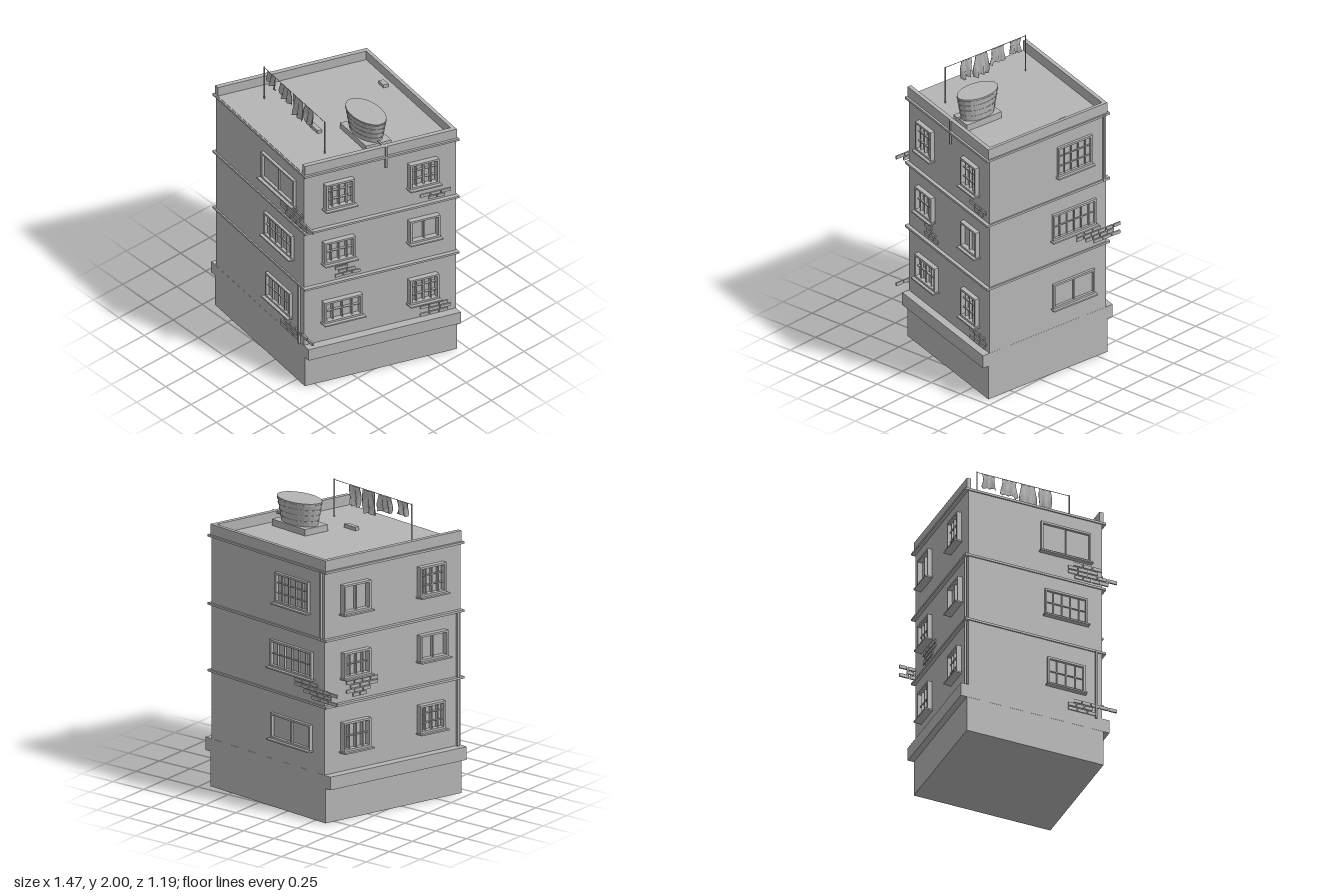
import * as THREE from 'three';

const U = 0.519, W = 0.532;   // half sizes of the skewed footprint

export function createModel() {
  const root = new THREE.Group();
  root.name = 'apartmentBlock';
  const grey = new THREE.MeshStandardMaterial({ color: 0xb5b5b5 });
  grey.name = 'concreteGrey';

  // Plan axes: u runs along the front wall, w runs from back to front
  const skew = new THREE.Matrix4().makeBasis(
    new THREE.Vector3(0.9927, 0, 0.1205),
    new THREE.Vector3(0, 1, 0),
    new THREE.Vector3(-0.329, 0, 0.944));

  const add = (parent, name, geo, skewed = true) => {
    const mesh = new THREE.Mesh(skewed ? geo.applyMatrix4(skew) : geo, grey);
    mesh.name = name;
    parent.add(mesh);
    return mesh;
  };
  const box = (parent, name, u0, u1, y0, y1, w0, w1) =>
    add(parent, name, new THREE.BoxGeometry(u1 - u0, y1 - y0, w1 - w0)
      .translate((u0 + u1) / 2, (y0 + y1) / 2, (w0 + w1) / 2));

  // Box on a wall: s runs to the right seen from outside, d is the distance outwards
  const u1 = U - 0.011;
  const onWall = (parent, name, side, s0, s1, y0, y1, d0, d1) => {
    if (side === 'front') return box(parent, name, s0, s1, y0, y1, W + d0, W + d1);
    if (side === 'back') return box(parent, name, -s1, -s0, y0, y1, -W - d1, -W - d0);
    if (side === 'right') return box(parent, name, u1 + d0, u1 + d1, y0, y1, -s1, -s0);
    return box(parent, name, -u1 - d1, -u1 - d0, y0, y1, s0, s1);
  };
  const group = (name) => {
    const g = new THREE.Group();
    g.name = name;
    root.add(g);
    return g;
  };

  // Main masses
  box(root, 'plinth', -U, U, 0, 0.33, -W, W);
  box(root, 'plinthLedge', -0.565, 0.565, 0.24, 0.33, -W - 0.001, W + 0.001);
  box(root, 'walls', -u1, u1, 0.33, 1.74, -W, W);
  for (const y of [0.8, 1.26, 1.73])
    box(root, 'stringCourse', -0.535, 0.535, y - 0.008, y + 0.007, -0.542, 0.542);

  // Parapet on three sides, open at the front
  box(root, 'leftParapet', -U, -U + 0.03, 1.735, 1.81, -W, W);
  box(root, 'rightParapet', U - 0.03, U, 1.735, 1.81, -W, W);
  box(root, 'backParapet', -U + 0.03, U - 0.03, 1.735, 1.81, -W, -W + 0.025);

  // Windows: [side, s0, s1, y0, y1, columns, rows]
  const windows = [
    ['front', 0.04, 0.418, 1.42, 1.63, 2, 1],
    ['front', 0.07, 0.393, 0.97, 1.155, 5, 2],
    ['front', 0.09, 0.373, 0.475, 0.67, 4, 2],
    ['back', 0.08, 0.38, 1.42, 1.63, 5, 3],
    ['back', 0.035, 0.413, 0.97, 1.155, 6, 2],
    ['back', 0.04, 0.40, 0.475, 0.65, 2, 1],
    ['right', -0.396, -0.194, 1.42, 1.625, 4, 3],
    ['right', 0.194, 0.395, 1.42, 1.62, 4, 3],
    ['right', -0.404, -0.19, 0.975, 1.15, 4, 2],
    ['right', 0.194, 0.402, 0.975, 1.155, 2, 1],
    ['right', -0.407, -0.14, 0.49, 0.66, 4, 2],
    ['right', 0.194, 0.395, 0.47, 0.67, 4, 3],
    ['left', -0.405, -0.194, 1.42, 1.62, 2, 1],
    ['left', 0.194, 0.395, 1.42, 1.625, 4, 3],
    ['left', -0.4, -0.194, 0.975, 1.15, 4, 2],
    ['left', 0.194, 0.41, 0.975, 1.155, 2, 1],
    ['left', -0.405, -0.194, 0.47, 0.67, 4, 2],
    ['left', 0.194, 0.39, 0.48, 0.67, 4, 3],
  ];
  for (const [side, s0, s1, y0, y1, cols, rows] of windows) {
    const g = group(side + 'Window');
    const t = 0.014, d = side === 'front' || side === 'back' ? 0.02 : 0.035;
    onWall(g, 'frameSide', side, s0, s0 + t, y0, y1, 0, d);
    onWall(g, 'frameSide', side, s1 - t, s1, y0, y1, 0, d);
    onWall(g, 'frameTop', side, s0 + t, s1 - t, y1 - t, y1, 0, d);
    onWall(g, 'frameBottom', side, s0 + t, s1 - t, y0, y0 + t, 0, d);
    onWall(g, 'sill', side, s0 - 0.01, s1 + 0.01, y0 - 0.01, y0, 0, d + 0.022);
    for (let i = 1; i < cols; i++) {
      const s = s0 + (s1 - s0) * i / cols;
      onWall(g, 'mullion', side, s - 0.004, s + 0.004, y0 + t, y1 - t, 0, d * 0.6);
    }
    for (let i = 1; i < rows; i++) {
      const y = y0 + (y1 - y0) * i / rows;
      onWall(g, 'glazingBar', side, s0 + t, s1 - t, y - 0.003, y + 0.003, 0, d * 0.5);
    }
  }

  // Exposed brick patches: [side, lowest y, rows of [start, end]]
  const patches = [
    ['front', 1.285, [[0.3, 0.56], [0.25, 0.625], [0.25, 0.48], [0.29, 0.51]]],
    ['front', 0.335, [[0.25, 0.47], [0.25, 0.44], [0.29, 0.625]]],
    ['right', 1.285, [[0.34, 0.46], [0.28, 0.5]]],
    ['right', 0.335, [[0.28, 0.48], [0.34, 0.5], [0.28, 0.48]]],
    ['right', 0.83, [[-0.315, -0.135], [-0.29, -0.17], [-0.315, -0.22], [-0.315, -0.22]]],
    ['back', 0.83, [[0.4, 0.635], [0.33, 0.58], [0.25, 0.635], [0.25, 0.46]]],
    ['left', 0.83, [[-0.31, -0.2], [-0.36, -0.17], [-0.33, -0.11], [-0.36, -0.11]]],
  ];
  for (const [side, base, rows] of patches) {
    const g = group(side + 'Bricks');
    rows.forEach(([a, b], r) => {
      const n = Math.max(1, Math.round((b - a) / 0.07)), step = (b - a) / n;
      for (let i = 0; i < n; i++)
        onWall(g, 'brick', side, a + i * step, a + (i + 1) * step - 0.007,
          base + r * 0.03, base + r * 0.03 + 0.022, -0.004, 0.008);
    });
  }

  // Drain pipes
  onWall(root, 'frontDrainPipe', 'front', 0.456, 0.47, 0.32, 0.8, 0, 0.014);
  onWall(root, 'leftDrainPipe', 'left', 0.494, 0.508, 0.33, 1.26, 0.005, 0.019);
  onWall(root, 'backDrainPipe', 'back', 0.476, 0.49, 1.26, 1.73, 0, 0.014);
  onWall(root, 'overflowPipe', 'right', 0.029, 0.041, 1.64, 1.81, 0.005, 0.022);
  box(root, 'tankOutlet', 0.43, 0.5, 1.794, 1.806, -0.041, -0.029);

  // Water tank: an oval tapered tub with hoops
  box(root, 'tankBase', 0.135, 0.435, 1.74, 1.785, -0.125, 0.053);
  const oval = (name, top, bottom, y0, y1) => {
    const geo = new THREE.CylinderGeometry(top, bottom, y1 - y0, 20).toNonIndexed()
      .scale(1, 1, 0.58).translate(0.296, (y0 + y1) / 2, 0);
    geo.computeVertexNormals();
    return add(root, name, geo, false);
  };
  oval('waterTank', 0.17, 0.138, 1.785, 1.95);
  for (const y of [1.82, 1.86, 1.9, 1.935]) {
    const r = 0.142 + (y - 1.785) * 0.194;
    oval('tankHoop', r, r, y - 0.003, y + 0.003);
  }

  // Roof hatches
  box(root, 'frontHatch', 0.035, 0.135, 1.74, 1.765, 0.181, 0.211);
  box(root, 'backHatch', -0.217, -0.161, 1.74, 1.765, -0.465, -0.429);

  // Clothes line with hanging washing
  const line = group('clothesLine');
  for (const u of [-0.35, 0.35])
    add(line, 'pole', new THREE.CylinderGeometry(0.005, 0.005, 0.26, 8).translate(u, 1.87, 0.29));
  add(line, 'rope', new THREE.CylinderGeometry(0.002, 0.002, 0.7, 6)
    .rotateZ(Math.PI / 2).translate(0, 1.996, 0.29));
  const cloths = [[-0.312, -0.216, 1.9], [-0.166, -0.045, 1.885], [-0.02, 0.096, 1.838], [0.121, 0.212, 1.86]];
  cloths.forEach(([a, b, bottom], k) => {
    const h = 1.993 - bottom;
    const geo = new THREE.BoxGeometry(b - a, h, 0.003, 8, 6, 1);
    const p = geo.attributes.position;
    for (let i = 0; i < p.count; i++) {
      const x = p.getX(i), f = 0.5 - p.getY(i) / h;   // f grows from the rope down
      p.setX(i, x * (1 - 0.12 * Math.sin(f * 4 + k)));
      p.setZ(i, p.getZ(i) + 0.012 * (0.3 + f) * Math.sin(x * 130 + f * 3 + k * 2));
      p.setY(i, p.getY(i) + 0.006 * f * Math.sin(x * 90 + k));
    }
    geo.computeVertexNormals();
    add(line, 'washing', geo.translate((a + b) / 2, (bottom + 1.993) / 2, 0.29));
  });

  return root;
}
